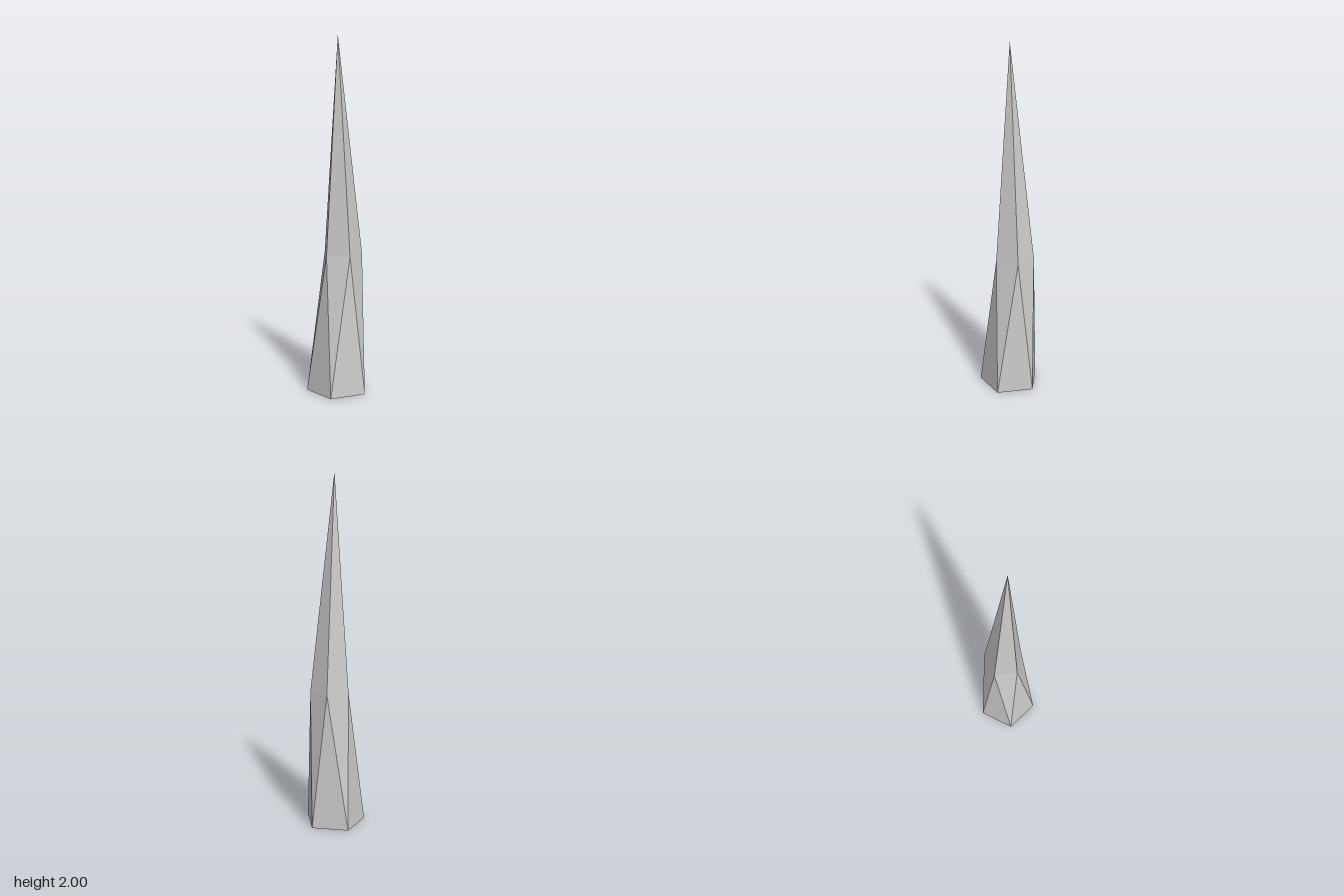
import * as THREE from 'three';

const SIDES = 5;

// Regular ring of corners about (cx, y, 0), turned by a fraction of one side
function ring(cx, y, radius, turn) {
  return Array.from({ length: SIDES }, (_, i) => {
    const a = ((i + turn) / SIDES) * Math.PI * 2;
    return [cx + radius * Math.cos(a), y, radius * Math.sin(a)];
  });
}

export function createModel() {
  const base = ring(-0.017, 0, 0.177, 0);
  const waist = ring(0.013, 0.79, 0.114, 0.5);
  const apex = [-0.017, 2, 0];
  const baseCentre = [-0.017, 0, 0];

  const points = [];
  const tri = (a, b, c) => points.push(...a, ...b, ...c);
  for (let i = 0; i < SIDES; i++) {
    const j = (i + 1) % SIDES;
    tri(base[i], waist[i], base[j]); // lower facet, standing on the base
    tri(base[j], waist[i], waist[j]); // lower facet, hanging from the waist
    tri(waist[i], apex, waist[j]); // tip facet
    tri(base[i], base[j], baseCentre); // underside
  }

  const geometry = new THREE.BufferGeometry();
  geometry.setAttribute('position', new THREE.Float32BufferAttribute(points, 3));
  geometry.computeVertexNormals();

  const spike = new THREE.Mesh(
    geometry,
    new THREE.MeshStandardMaterial({ color: 0xcccccc, flatShading: true })
  );
  spike.name = 'spike';

  const model = new THREE.Group();
  model.name = 'crystalSpike';
  model.add(spike);
  return model;
}
